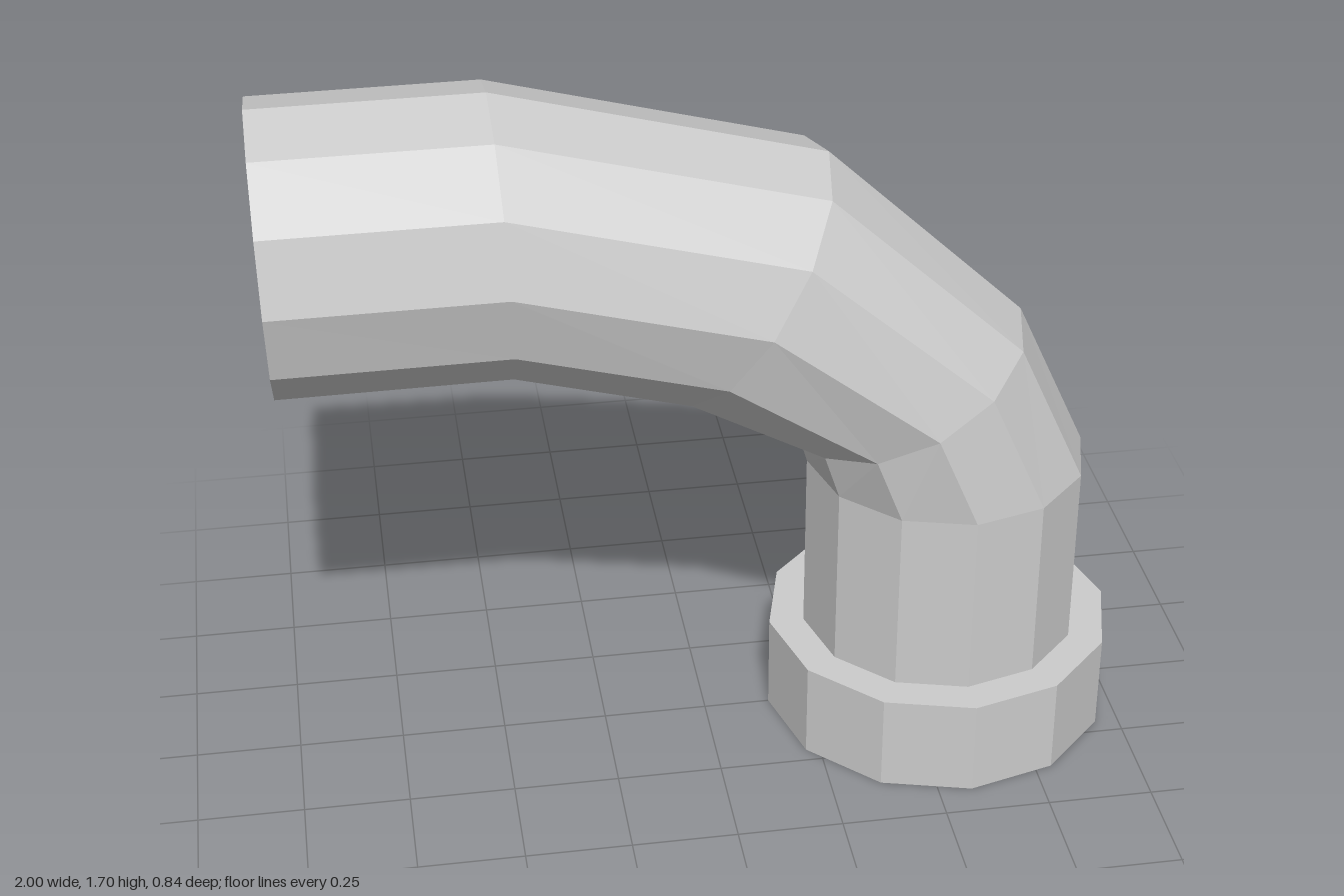
import * as THREE from 'three';

const SIDES = 12;
const RADIUS = 0.335;

// Each ring: centre x, y, z and the half-width vector (x, y) toward the outside of the bend
const RINGS = [
  [0.58, 0.24, 0, 0.335, 0],
  [0.58, 0.70, 0, 0.335, 0],
  [0.482, 0.93, 0, 0.263, 0.14],
  [0.10, 1.225, 0, 0.18, 0.285],
  [-0.465, 1.365, -0.018, -0.012, 0.335],
  [-0.992, 1.352, -0.035, -0.008, 0.337],
];

// Skin the rings into a faceted tube, closed at the far end
function createTube() {
  const positions = [];
  const index = [];
  for (const [x, y, z, ox, oy] of RINGS) {
    for (let i = 0; i < SIDES; i++) {
      const a = (i / SIDES) * Math.PI * 2;
      positions.push(x + ox * Math.cos(a), y + oy * Math.cos(a), z + RADIUS * Math.sin(a));
    }
  }
  for (let r = 0; r < RINGS.length - 1; r++) {
    for (let i = 0; i < SIDES; i++) {
      const a = r * SIDES + i;
      const b = r * SIDES + ((i + 1) % SIDES);
      index.push(a, a + SIDES, b, b, a + SIDES, b + SIDES);
    }
  }
  // End cap
  const last = (RINGS.length - 1) * SIDES;
  const centre = RINGS.length * SIDES;
  positions.push(...RINGS[RINGS.length - 1].slice(0, 3));
  for (let i = 0; i < SIDES; i++) {
    index.push(centre, last + ((i + 1) % SIDES), last + i);
  }
  const indexed = new THREE.BufferGeometry();
  indexed.setAttribute('position', new THREE.Float32BufferAttribute(positions, 3));
  indexed.setIndex(index);
  const geometry = indexed.toNonIndexed();
  geometry.computeVertexNormals();
  return geometry;
}

export function createModel() {
  const group = new THREE.Group();
  group.name = 'bentPipe';
  const material = new THREE.MeshStandardMaterial({ color: 0xcccccc, flatShading: true });

  // Wide collar at the foot
  const collar = new THREE.Mesh(new THREE.CylinderGeometry(0.42, 0.42, 0.24, SIDES), material);
  collar.name = 'collar';
  collar.position.set(0.58, 0.12, 0);
  group.add(collar);

  // Curved pipe rising from the collar
  const pipe = new THREE.Mesh(createTube(), material);
  pipe.name = 'pipe';
  group.add(pipe);

  return group;
}
